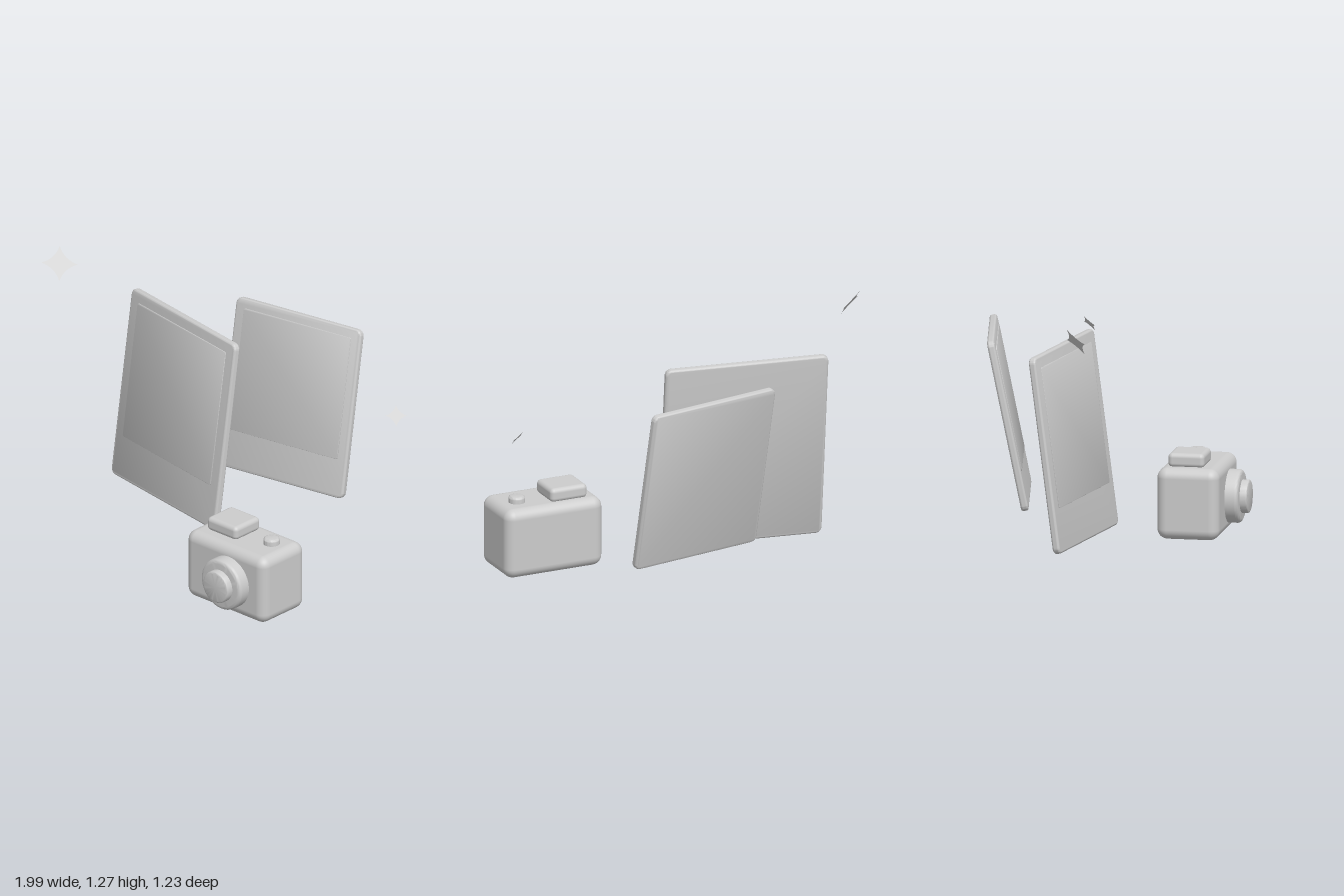
import * as THREE from 'three';
import { toCreasedNormals } from 'three/addons/utils/BufferGeometryUtils.js';
import { RoundedBoxGeometry } from 'three/addons/geometries/RoundedBoxGeometry.js';

const grey = new THREE.MeshStandardMaterial({ color: 0xcccccc });
grey.name = 'light grey';
const greyFlat = new THREE.MeshStandardMaterial({ color: 0xcccccc, side: THREE.DoubleSide });
greyFlat.name = 'light grey sheet';

function add(parent, name, geometry, x = 0, y = 0, z = 0, material = grey) {
  const mesh = new THREE.Mesh(geometry, material);
  mesh.name = name;
  mesh.position.set(x, y, z);
  parent.add(mesh);
  return mesh;
}

// Rounded rectangular plate, centred on the origin, with softened edges
function plate(w, h, depth, radius, bevel) {
  const x = w / 2 - bevel, y = h / 2 - bevel, r = radius - bevel;
  const s = new THREE.Shape();
  s.moveTo(-x + r, -y);
  s.lineTo(x - r, -y);
  s.absarc(x - r, -y + r, r, -Math.PI / 2, 0);
  s.lineTo(x, y - r);
  s.absarc(x - r, y - r, r, 0, Math.PI / 2);
  s.lineTo(-x + r, y);
  s.absarc(-x + r, y - r, r, Math.PI / 2, Math.PI);
  s.lineTo(-x, -y + r);
  s.absarc(-x + r, -y + r, r, Math.PI, Math.PI * 1.5);
  const g = new THREE.ExtrudeGeometry(s, {
    depth: depth - 2 * bevel, bevelEnabled: true, bevelThickness: bevel,
    bevelSize: bevel, bevelSegments: 4, curveSegments: 6,
  });
  g.translate(0, 0, -depth / 2 + bevel);
  return toCreasedNormals(g, 0.7);
}

// Disc with a rounded front rim, standing along +y from y0 to y1
function roundedDisc(radius, y0, y1, r) {
  const pts = [new THREE.Vector2(0, y0), new THREE.Vector2(radius, y0)];
  for (let i = 0; i <= 5; i++) {
    const a = (i / 5) * Math.PI / 2;
    pts.push(new THREE.Vector2(radius - r + r * Math.cos(a), y1 - r + r * Math.sin(a)));
  }
  pts.push(new THREE.Vector2(0, y1));
  return toCreasedNormals(new THREE.LatheGeometry(pts, 48), 0.7);
}

// Instant photo card: frame with a square picture leaving a deep lower border
function photoCard(name, w, h, picture, pictureY) {
  const card = new THREE.Group();
  card.name = name;
  const depth = 0.036;
  add(card, 'cardFrame', plate(w, h, depth, 0.032, 0.011));
  add(card, 'pictureArea', plate(picture, picture, 0.008, 0.01, 0.001), 0, pictureY, depth / 2);
  card.rotation.order = 'YXZ';
  return card;
}

// Four-pointed sparkle spanned by two half-diagonals u and v
function sparkle(name, centre, u, v) {
  const tips = [[1, 0], [0, 1], [-1, 0], [0, -1]];
  const s = new THREE.Shape();
  s.moveTo(1, 0);
  for (let i = 0; i < 4; i++) {
    const a = tips[i], b = tips[(i + 1) % 4];
    s.quadraticCurveTo((a[0] + b[0]) * 0.25, (a[1] + b[1]) * 0.25, b[0], b[1]);
  }
  const g = new THREE.ShapeGeometry(s, 10);
  const U = new THREE.Vector3(...u), V = new THREE.Vector3(...v);
  const N = U.clone().cross(V).normalize();
  g.applyMatrix4(new THREE.Matrix4().makeBasis(U, V, N));
  const mesh = new THREE.Mesh(g, greyFlat);
  mesh.name = name;
  mesh.position.set(...centre);
  return mesh;
}

export function createModel() {
  const model = new THREE.Group();
  model.name = 'cameraWithPhotos';

  // Photo cards, leaning back
  const front = photoCard('frontPhotoCard', 0.815, 0.962, 0.69, 0.079);
  front.position.set(-0.31, 0.59, -0.02);
  front.rotation.set(-0.135, -0.1, 0);
  const back = photoCard('backPhotoCard', 0.715, 0.85, 0.612, 0.073);
  back.position.set(0.058, 0.64, -0.438);
  back.rotation.set(-0.2, 0.24, 0);
  model.add(front, back);

  // Camera
  const camera = new THREE.Group();
  camera.name = 'camera';
  camera.position.set(0.578, 0, 0.36);
  camera.rotation.y = 0.066;
  add(camera, 'cameraBody', new RoundedBoxGeometry(0.518, 0.35, 0.305, 5, 0.05), 0, 0.175, 0);
  add(camera, 'viewfinder', new RoundedBoxGeometry(0.195, 0.07, 0.178, 4, 0.022), -0.094, 0.379, -0.018);
  add(camera, 'shutterButton', roundedDisc(0.04, 0, 0.04, 0.012), 0.149, 0.342, -0.025);
  const lens = new THREE.Group();
  lens.name = 'lens';
  lens.position.set(0.034, 0.173, 0);
  lens.rotation.x = Math.PI / 2;
  add(lens, 'lensBarrel', roundedDisc(0.13, 0.13, 0.217, 0.02));
  add(lens, 'lensGlass', roundedDisc(0.081, 0.19, 0.253, 0.01));
  camera.add(lens);
  model.add(camera);

  // Floating sparkles
  model.add(
    sparkle('largeSparkle', [-0.935, 1.206, 0.158], [0.063, -0.004, -0.061], [-0.037, 0.068, -0.036]),
    sparkle('smallSparkle', [0.96, 0.914, -0.278], [0.036, 0.001, -0.036], [-0.025, 0.041, -0.023]),
  );
  return model;
}
